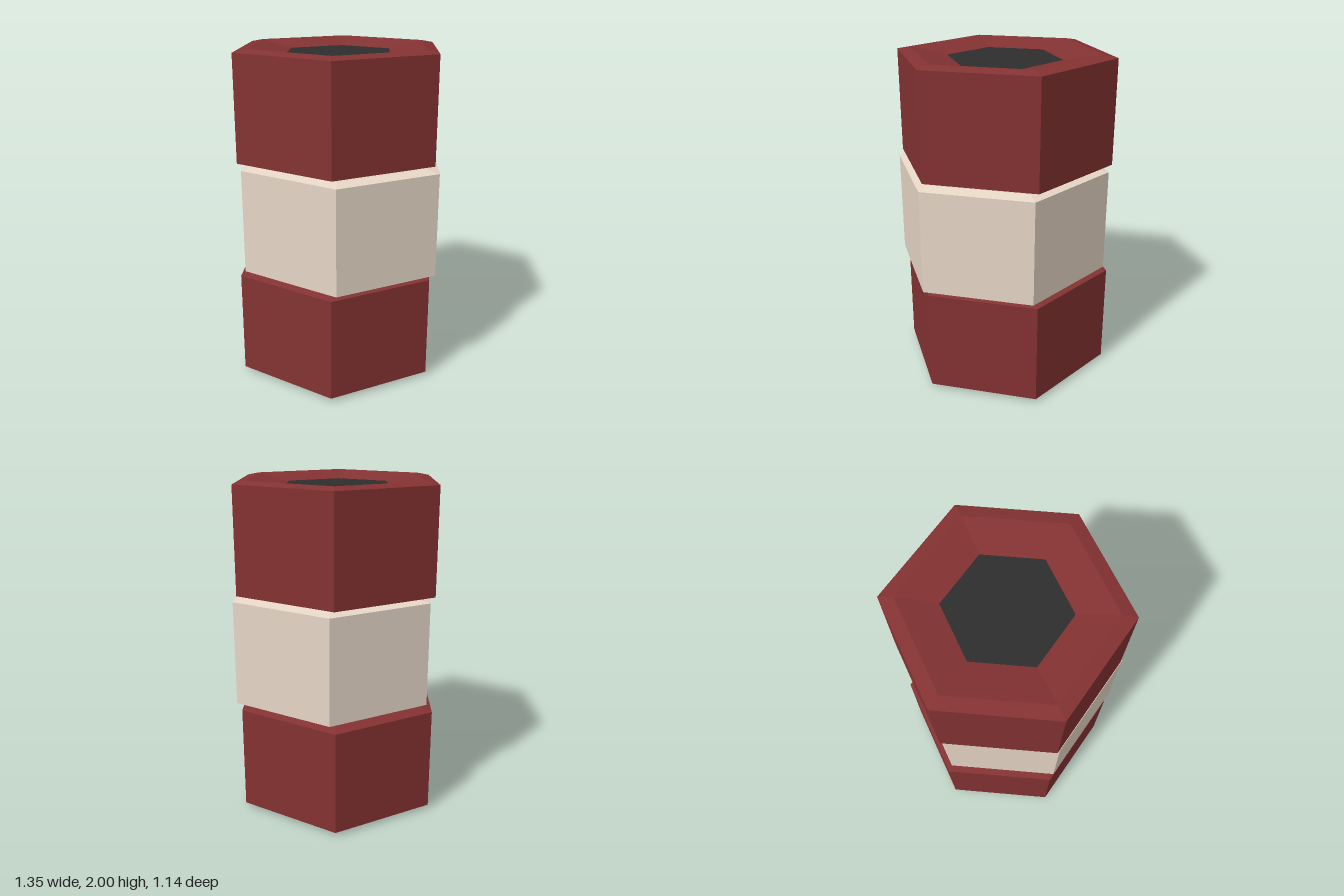
import * as THREE from 'three';

const RED = 0x843232, CREAM = 0xe6d6c6, DARK = 0x2e2e2e;

// Hexagonal ring of faces swept from a bottom-to-top (radius, height) profile, corners on the x axis
function hexPart(name, color, profile) {
  const points = profile.map(([r, y]) => new THREE.Vector2(r, y));
  const geometry = new THREE.LatheGeometry(points, 6, Math.PI / 2);
  const material = new THREE.MeshStandardMaterial({ color, flatShading: true });
  const mesh = new THREE.Mesh(geometry, material);
  mesh.name = name;
  return mesh;
}

// One hexagonal block: tapered underside, straight sides, bevelled rim and dished top
function hexBlock(name, color, undersideColor) {
  const R = 0.656;
  const block = new THREE.Group();
  block.name = name;
  block.add(
    hexPart('bottomCap', DARK, [[0, 0], [0.457, 0]]),
    hexPart('underside', undersideColor, [[0.457, 0], [R, 0.025]]),
    hexPart('sides', color, [[R, 0.025], [R, 0.652]]),
    hexPart('rimAndDish', color, [[R, 0.652], [0.572, 0.668], [0.344, 0.628]]),
    hexPart('topCap', DARK, [[0.344, 0.628], [0, 0.628]])
  );
  return block;
}

export function createModel() {
  const model = new THREE.Group();
  model.name = 'hexagonalStack';

  // Three blocks stacked slightly off-axis
  const blocks = [
    ['bottomBlock', RED, RED, -0.02, 0],
    ['middleBlock', CREAM, CREAM, 0.017, 0.666],
    ['topBlock', RED, DARK, -0.012, 1.332],
  ];
  for (const [name, color, underside, x, y] of blocks) {
    const block = hexBlock(name, color, underside);
    block.position.set(x, y, 0);
    model.add(block);
  }
  return model;
}
